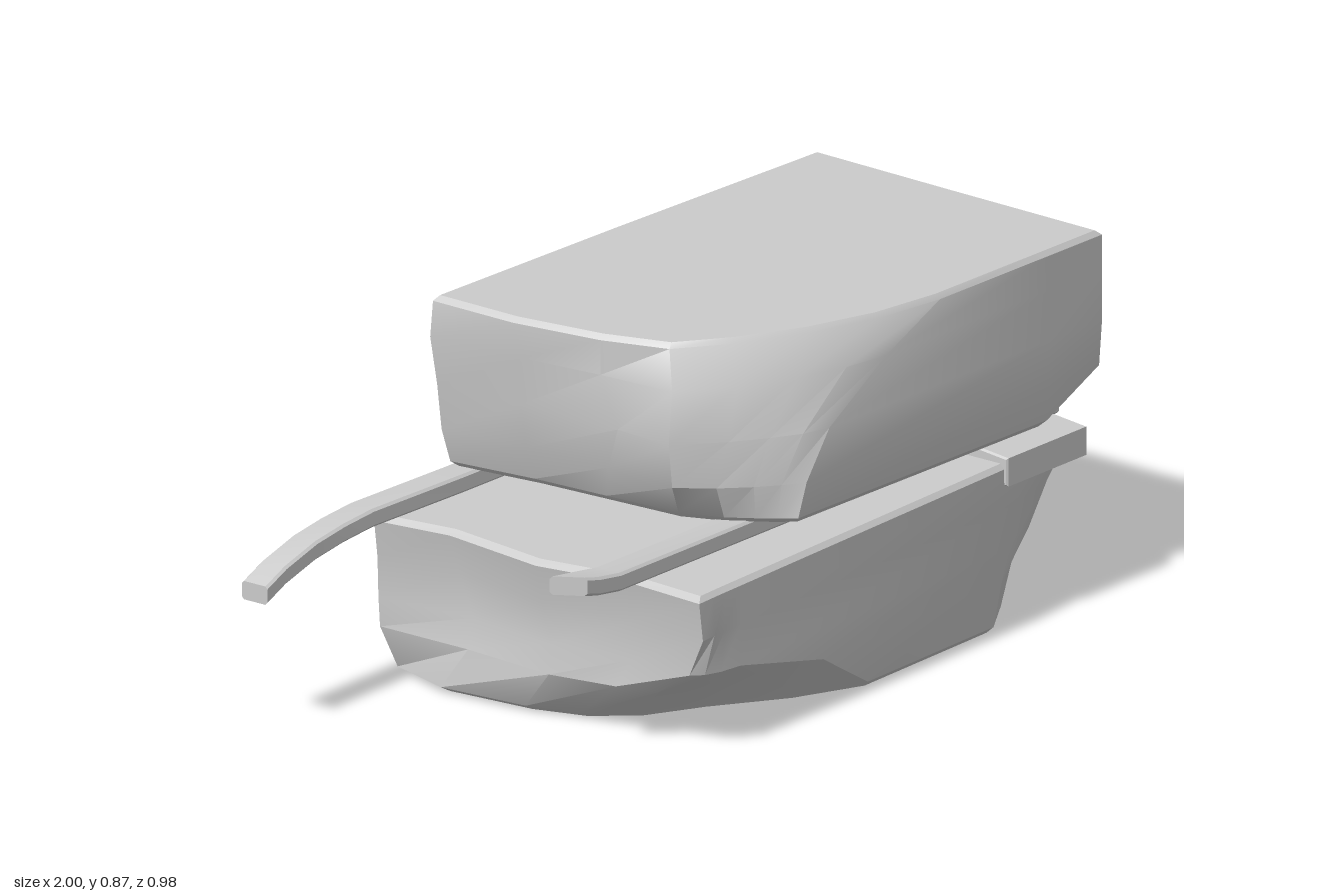
import * as THREE from 'three';
import { toCreasedNormals } from 'three/addons/utils/BufferGeometryUtils.js';

const material = new THREE.MeshStandardMaterial({ color: 0xcccccc });

// Closed solid through a list of rings, each a loop of [x, y, z] points
function loft(rings, crease) {
  const n = rings[0].length;
  const pos = rings.flat(2);
  const index = [];
  for (let r = 0; r < rings.length - 1; r++) {
    for (let i = 0; i < n; i++) {
      const a = r * n + i, b = r * n + (i + 1) % n;
      index.push(a, a + n, b, b, a + n, b + n);
    }
  }
  [0, rings.length - 1].forEach((r, end) => {
    const centre = pos.length / 3;
    for (let k = 0; k < 3; k++) pos.push(rings[r].reduce((s, p) => s + p[k], 0) / n);
    for (let i = 0; i < n; i++) {
      const a = r * n + i, b = r * n + (i + 1) % n;
      if (end) index.push(centre, b, a);
      else index.push(centre, a, b);
    }
  });
  const g = new THREE.BufferGeometry();
  g.setAttribute('position', new THREE.Float32BufferAttribute(pos, 3));
  g.setIndex(index);
  return toCreasedNormals(g, crease);
}

// Broken slab from horizontal outlines (x, z pairs), with worn top and bottom edges
function slab(levels, heights) {
  const ring = (flat, y, s = 1) => {
    const pts = [];
    for (let i = 0; i < flat.length; i += 2) pts.push([0.3 + (flat[i] - 0.3) * s, y, flat[i + 1] * s]);
    return pts;
  };
  const last = levels.length - 1;
  const rings = levels.map((l, i) => ring(l, heights[i]));
  rings.unshift(ring(levels[0], heights[0] - 0.014, 0.97));
  rings.push(ring(levels[last], heights[last] + 0.012, 0.978));
  return loft(rings, 0.5);
}

// Flat bar with eased edges along x; skew slants its left end
function bar(path, skew = 0) {
  const h = 0.022, w = 0.037, c = 0.006;
  const section = [[h, w - c], [h, c - w], [h - c, -w], [c - h, -w], [-h, c - w], [-h, w - c], [c - h, w], [h - c, w]];
  return loft(path.map(([x, y, z], i) =>
    section.map(([dy, dz]) => [x + (i === 0 ? dz * skew : 0), y + dy, z + dz])), 0.5);
}

// Bent clip: a (z, y) profile extruded along x
function clip(profile) {
  const shape = new THREE.Shape(profile.map(([z, y]) => new THREE.Vector2(-z, y)));
  const g = new THREE.ExtrudeGeometry(shape, {
    depth: 0.28, bevelEnabled: true, bevelSize: 0.004, bevelThickness: 0.005, bevelSegments: 1
  });
  return g.rotateY(Math.PI / 2).translate(0.615, 0, 0);
}

function addMesh(parent, name, geometry) {
  const mesh = new THREE.Mesh(geometry, material);
  mesh.name = name;
  parent.add(mesh);
  return mesh;
}

export function createModel() {
  const model = new THREE.Group();
  model.name = 'brokenSlabs';

  // Lower slab: undercut right end, chipped front left corner
  const lower = slab([
    [.64, -.46, .76, -.14, .86, .04, .81, .24, .7, .38, .58, .455, .12, .46, -.05, .38, -.22, .26, -.36, .18,
      -.44, .08, -.48, -.05, -.5, -.28, -.45, -.445, 0, -.45],
    [.71, -.475, .87, -.15, .95, .03, .88, .24, .73, .39, .6, .465, -.06, .476, -.22, .42, -.36, .37, -.46, .32,
      -.49, .22, -.52, .05, -.5, -.2, -.5, -.455, 0, -.463],
    [.75, -.475, .93, -.15, .995, .03, .93, .23, .765, .41, .63, .464, -.36, .479, -.42, .47, -.46, .455, -.485, .43,
      -.48, .26, -.51, .05, -.48, -.2, -.505, -.455, 0, -.463],
    [.77, -.475, .95, -.15, 1, .04, .97, .22, .82, .42, .66, .462, -.36, .48, -.42, .481, -.46, .483, -.505, .486,
      -.48, .28, -.52, .03, -.48, -.24, -.51, -.453, 0, -.461],
    [.78, -.47, .94, -.16, .99, .04, .99, .2, .88, .435, .7, .46, -.36, .48, -.42, .481, -.46, .482, -.515, .484,
      -.5, .28, -.54, .03, -.5, -.25, -.525, -.45, 0, -.458]
  ], [0.022, 0.13, 0.2, 0.3, 0.392]);
  addMesh(model, 'lowerSlab', lower).rotation.z = 0.01;

  // Upper slab: broken left end, chipped lower right corners
  const upper = slab([
    [.965, -.31, .96, .03, .93, .39, .78, .45, -.1, .435, -.13, .4, -.16, .36, -.2, .3, -.24, .2, -.25, 0,
      -.26, -.2, -.285, -.425, .3, -.41, .87, -.385],
    [.995, -.365, .98, .03, .965, .452, .78, .456, -.08, .443, -.13, .41, -.18, .37, -.24, .31, -.3, .23, -.28, .03,
      -.29, -.2, -.31, -.43, .3, -.413, .9, -.389],
    [.995, -.385, .98, .03, .967, .459, .78, .457, 0, .445, -.07, .425, -.14, .385, -.22, .33, -.325, .24, -.31, .08,
      -.31, -.2, -.32, -.435, .3, -.415, .9, -.389],
    [.995, -.385, .98, .03, .967, .459, .78, .457, .2, .449, .08, .43, -.05, .39, -.18, .32, -.3, .23, -.31, .03,
      -.33, -.18, -.345, -.435, .3, -.415, .9, -.389],
    [.995, -.385, .98, .03, .967, .459, .78, .457, .39, .452, .2, .425, .02, .365, -.14, .28, -.26, .19, -.31, .03,
      -.34, -.2, -.335, -.435, .3, -.415, .9, -.389]
  ], [0.468, 0.55, 0.66, 0.78, 0.863]);
  addMesh(model, 'upperSlab', upper);

  // U-shaped bar between the slabs, with bent free ends
  const hairpin = new THREE.Group();
  hairpin.name = 'reinforcementBar';
  model.add(hairpin);
  addMesh(hairpin, 'backBar', bar([[-1, .348, -.418], [-.93, .378, -.418], [-.82, .408, -.418], [-.72, .422, -.418],
    [-.62, .432, -.414], [-.3, .433, -.402], [.96, .433, -.39]]));
  addMesh(hairpin, 'frontBar', bar([[-.765, .457, .303], [-.7, .446, .303], [-.62, .435, .303], [.96, .433, .303]], 0.6));
  addMesh(hairpin, 'crossBar', new THREE.BoxGeometry(0.075, 0.042, 0.74).translate(0.922, 0.433, -0.04));

  // Bent clips along the slab edges
  addMesh(model, 'frontClip', clip([[.3, .435], [.34, .435], [.467, .422], [.467, .362], [.437, .362], [.437, .4], [.3, .415]]));
  addMesh(model, 'lowerBackClip', clip([[-.35, .44], [-.43, .425], [-.45, .41], [-.486, .41], [-.486, .355],
    [-.457, .355], [-.457, .39], [-.35, .415]]));
  addMesh(model, 'upperBackClip', clip([[-.36, .457], [-.436, .457], [-.436, .517], [-.408, .517], [-.408, .466], [-.36, .466]]));

  return model;
}
